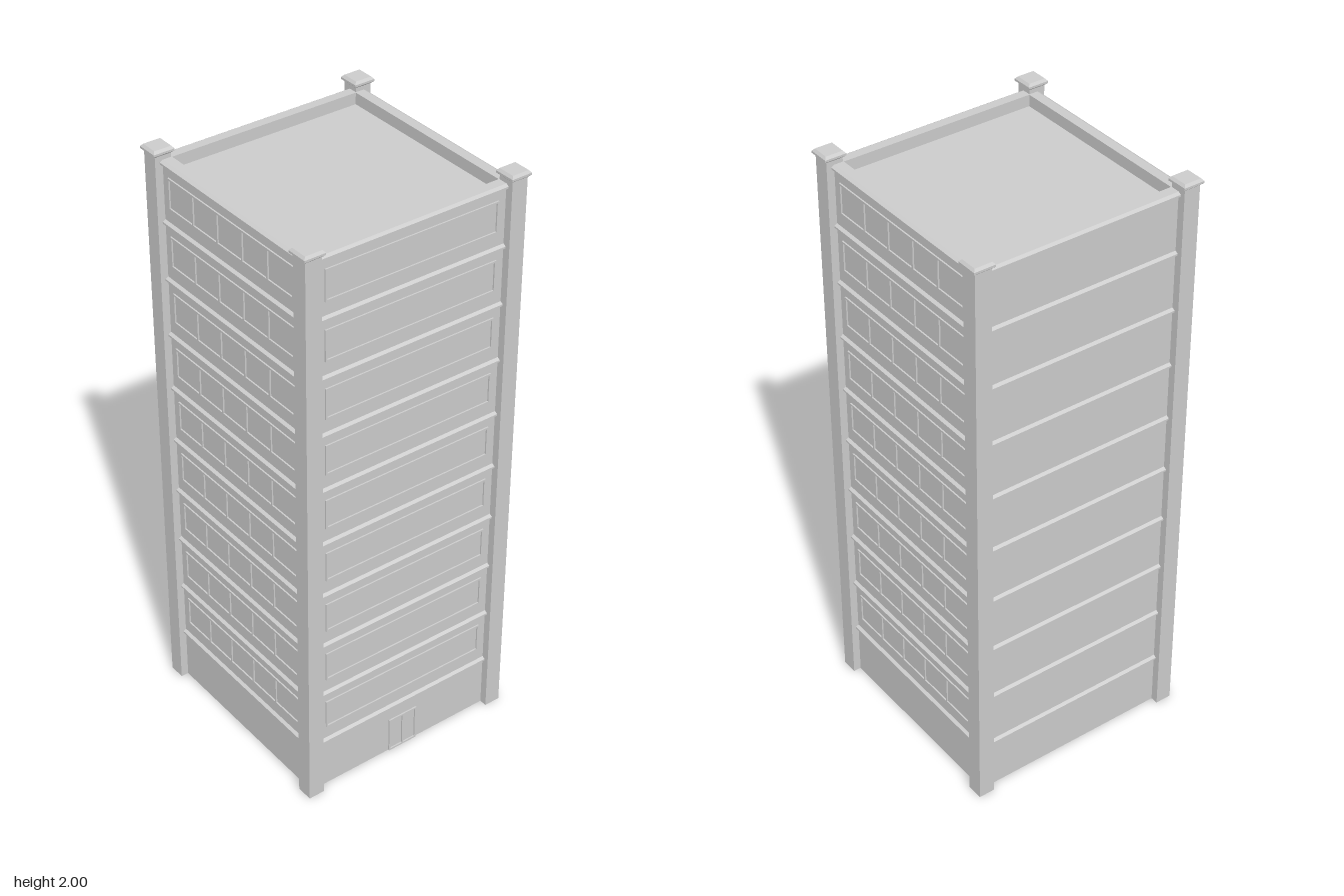
import * as THREE from 'three';

const FLOORS = 10, PITCH = 0.1963, WALL = 0.365;
const ledgeY = (i) => 0.19 + PITCH * i;
const mat = new THREE.MeshStandardMaterial({ color: 0xcccccc, flatShading: true });

function add(parent, name, geo, x = 0, y = 0, z = 0) {
  const mesh = new THREE.Mesh(geo, mat);
  mesh.name = name;
  mesh.position.set(x, y, z);
  parent.add(mesh);
  return mesh;
}

// Square solid from a profile of [half width, height] points, bottom to top
function squareLathe(points) {
  const pts = points.map(([w, y]) => new THREE.Vector2(w * Math.SQRT2, y));
  return new THREE.LatheGeometry(pts, 4, Math.PI / 4);
}

// Thin raised rectangular frame with evenly spaced upright bars, facing +z
function frame(name, w, h, panes, t = 0.006, d = 0.005) {
  const g = new THREE.Group();
  g.name = name;
  for (const s of [-1, 1])
    add(g, 'rail', new THREE.BoxGeometry(w, t, d), 0, s * (h - t) / 2, d / 2);
  for (let i = 0; i <= panes; i++)
    add(g, 'bar', new THREE.BoxGeometry(t, h - 2 * t, d), -(w - t) / 2 + (w - t) * i / panes, 0, d / 2);
  return g;
}

export function createModel() {
  const model = new THREE.Group();
  model.name = 'tower';

  // Walls, floor ledges, parapet and sunken roof in one square profile
  const profile = [[0, 0], [WALL, 0]];
  for (let i = 0; i < FLOORS; i++) {
    const y = ledgeY(i);
    profile.push([WALL, y - 0.007], [0.375, y - 0.005], [0.375, y + 0.001], [WALL, y + 0.007]);
  }
  profile.push([0.333, 1.964], [0.333, 1.925], [0, 1.925]);
  add(model, 'body', squareLathe(profile));

  // Corner posts with bevelled caps
  const postProfile = [
    [0, 0], [0.028, 0], [0.028, 1.978], [0.036, 1.985],
    [0.036, 1.992], [0.029, 2], [0, 2],
  ];
  for (const sx of [-1, 1])
    for (const sz of [-1, 1])
      add(model, 'cornerPost', squareLathe(postProfile), sx * 0.363, 0, sz * 0.363);

  // Window frames on the front and both sides, above the ground floor
  const faces = [
    { name: 'frontWindows', turn: 0, panes: 1 },
    { name: 'leftWindows', turn: Math.PI / 2, panes: 5 },
    { name: 'rightWindows', turn: -Math.PI / 2, panes: 5 },
  ];
  for (const { name, turn, panes } of faces) {
    const side = new THREE.Group();
    side.name = name;
    side.rotation.y = turn;
    for (let i = 0; i < FLOORS - 1; i++) {
      const win = frame('windowFrame', 0.615, 0.105, panes);
      win.position.set(0, ledgeY(i) + 0.105, WALL);
      side.add(win);
    }
    model.add(side);
  }

  // Double entrance door
  const door = frame('doorFrame', 0.11, 0.13, 2);
  door.position.set(0, 0.065, WALL);
  model.add(door);

  return model;
}
